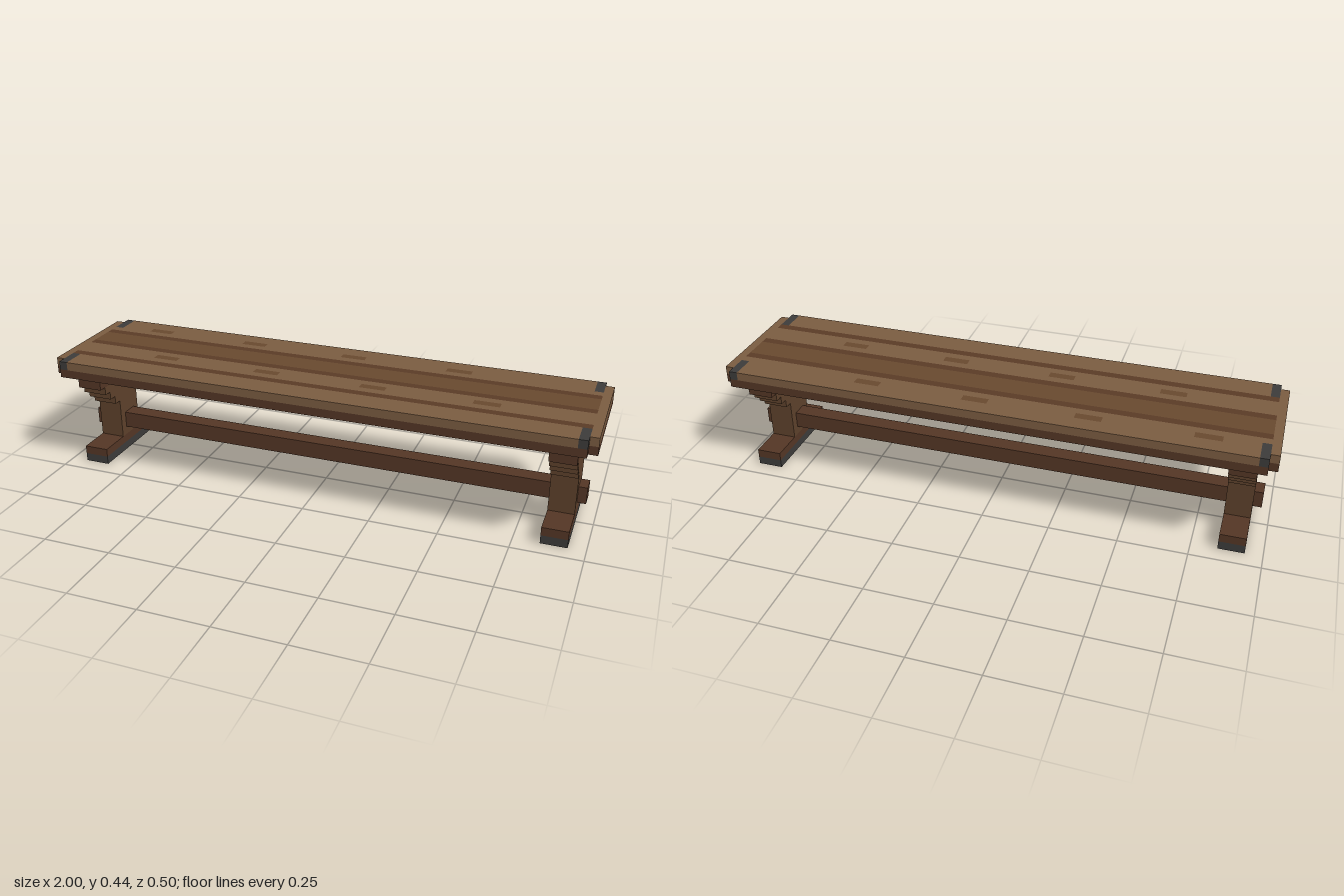
import * as THREE from 'three';

const U = 1 / 32; // one block of the grid the bench is built on

const mat = (color) => new THREE.MeshStandardMaterial({ color, flatShading: true });
const light = mat(0x7a5c41);
const medium = mat(0x68492f);
const groove = mat(0x5a3b26);
const dark = mat(0x543625);
const post = mat(0x5d412b);
const metal = mat(0x3c3b3a);

// Box between two grid corners
function box(parent, name, material, [x0, x1], [y0, y1], [z0, z1]) {
  const geo = new THREE.BoxGeometry((x1 - x0) * U, (y1 - y0) * U, (z1 - z0) * U);
  geo.translate((x0 + x1) * U / 2, (y0 + y1) * U / 2, (z0 + z1) * U / 2);
  const mesh = new THREE.Mesh(geo, material);
  mesh.name = name;
  parent.add(mesh);
}

// Seat: dark underlayer, light planked surface, metal corners
function createSeat() {
  const seat = new THREE.Group();
  seat.name = 'seat';
  const low = [12, 13], top = [13, 14];
  box(seat, 'underBoard', dark, [-31, 31], low, [-8, 8]);

  // z start, z end, half length, material, starts of the worn marks
  const rows = [
    [-8, -6, 30, light],
    [-6, -5, 30, light, [-26, -13, 0, 13]],
    [-5, -4, 31, light],
    [-4, -3, 31, groove],
    [-3, 0, 31, medium],
    [0, 1, 31, groove],
    [1, 2, 31, light],
    [2, 3, 31, light, [-21, -8, 5, 18]],
    [3, 4, 31, light],
    [4, 5, 31, groove],
    [5, 8, 30, light],
  ];
  for (const [z0, z1, half, material, marks = []] of rows) {
    let x = -half;
    for (const m of marks) {
      box(seat, 'plank', material, [x, m], top, [z0, z1]);
      box(seat, 'wornMark', medium, [m, m + 3], top, [z0, z1]);
      x = m + 3;
    }
    box(seat, 'plank', material, [x, half], top, [z0, z1]);
  }

  for (const ends of [[-32, -31], [31, 32]]) {
    box(seat, 'endUnderBoard', dark, ends, low, [-7, 7]);
    box(seat, 'endBoard', light, ends, top, [-7, 7]);
  }
  for (const xs of [[-31, -30], [30, 31]])
    for (const zs of [[-8, -5], [5, 8]]) box(seat, 'cornerBracket', metal, xs, top, zs);
  return seat;
}

// Trestle: shod foot, post and stepped bracket under the seat
function createTrestle(name, xs) {
  const trestle = new THREE.Group();
  trestle.name = name;
  box(trestle, 'footShoe', metal, xs, [0, 1], [-6, 6]);
  box(trestle, 'foot', dark, xs, [1, 2], [-6, 6]);
  box(trestle, 'post', post, xs, [2, 7], [-2, 2]);
  for (let i = 0; i < 3; i++)
    box(trestle, 'bracketStep', post, xs, [7 + i, 8 + i], [-3 - i, 3 + i]);
  box(trestle, 'bracketTop', dark, xs, [10, 12], [-6, 6]);
  return trestle;
}

export function createModel() {
  const bench = new THREE.Group();
  bench.name = 'bench';
  bench.add(createSeat());
  bench.add(createTrestle('leftTrestle', [27, 30]));
  bench.add(createTrestle('rightTrestle', [-30, -27]));
  // Stretcher passes through both posts
  box(bench, 'stretcher', dark, [-31, 31], [3, 5], [-1, 1]);
  return bench;
}
